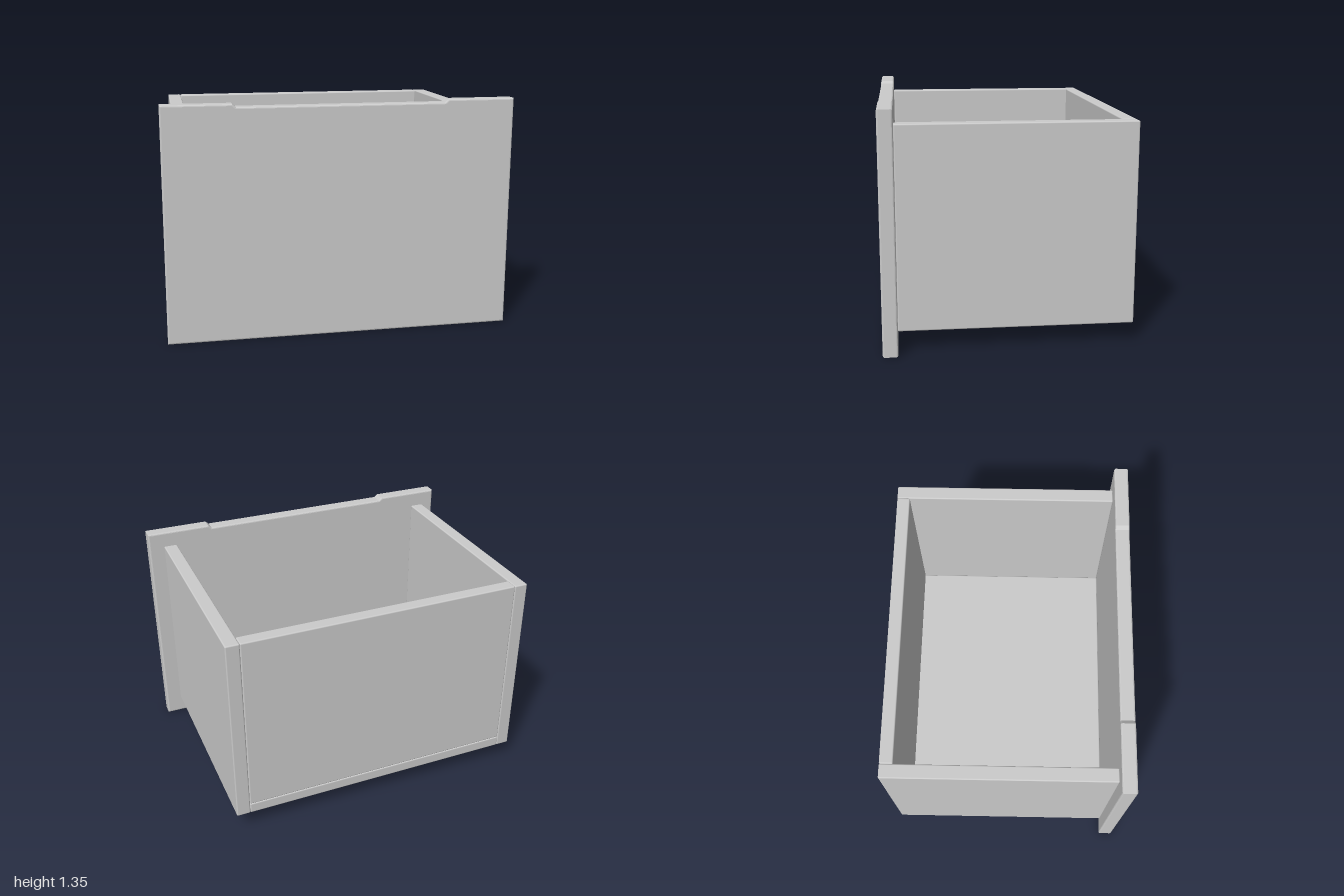
import * as THREE from 'three';
import { RoundedBoxGeometry } from 'three/addons/geometries/RoundedBoxGeometry.js';

const material = new THREE.MeshStandardMaterial({ color: 0xcccccc });

// Softly edged board given by its minimum and maximum corners
function board(name, min, max) {
  const size = max.map((v, i) => v - min[i]);
  const mesh = new THREE.Mesh(new RoundedBoxGeometry(...size, 2, 0.008), material);
  mesh.name = name;
  mesh.position.set(...max.map((v, i) => (v + min[i]) / 2));
  return mesh;
}

// Front board with a shallow finger recess along the middle of its top edge
function frontPanel() {
  const bevel = 0.01, depth = 0.085;
  const outline = [
    [-1, 0], [1, 0], [1, 1.35], [0.61, 1.35], [0.59, 1.333],
    [-0.59, 1.333], [-0.61, 1.35], [-1, 1.35],
  ].map(([x, y]) => new THREE.Vector2(x, y));
  const geometry = new THREE.ExtrudeGeometry(new THREE.Shape(outline), {
    depth: depth - 2 * bevel,
    bevelEnabled: true,
    bevelSize: bevel,
    bevelThickness: bevel,
    bevelOffset: -bevel,
    bevelSegments: 3,
  });
  const mesh = new THREE.Mesh(geometry, material);
  mesh.name = 'frontPanel';
  mesh.position.z = 0.62 + bevel;
  return mesh;
}

export function createModel() {
  const drawer = new THREE.Group();
  drawer.name = 'drawer';

  const bottom = 0.11, top = 1.26, back = -0.705, front = 0.62;
  const innerRight = -0.838, innerLeft = 0.824, floorTop = 0.175;

  drawer.add(
    frontPanel(),
    // Side walls
    board('rightSide', [-0.92, bottom, back], [innerRight, top, front]),
    board('leftSide', [innerLeft, bottom, back], [0.906, top, front]),
    // Floor between the sides, with the back wall standing on it
    board('floor', [innerRight, bottom, back], [innerLeft, floorTop, front]),
    board('backPanel', [innerRight, floorTop, back], [innerLeft, top, -0.627]),
  );
  return drawer;
}
